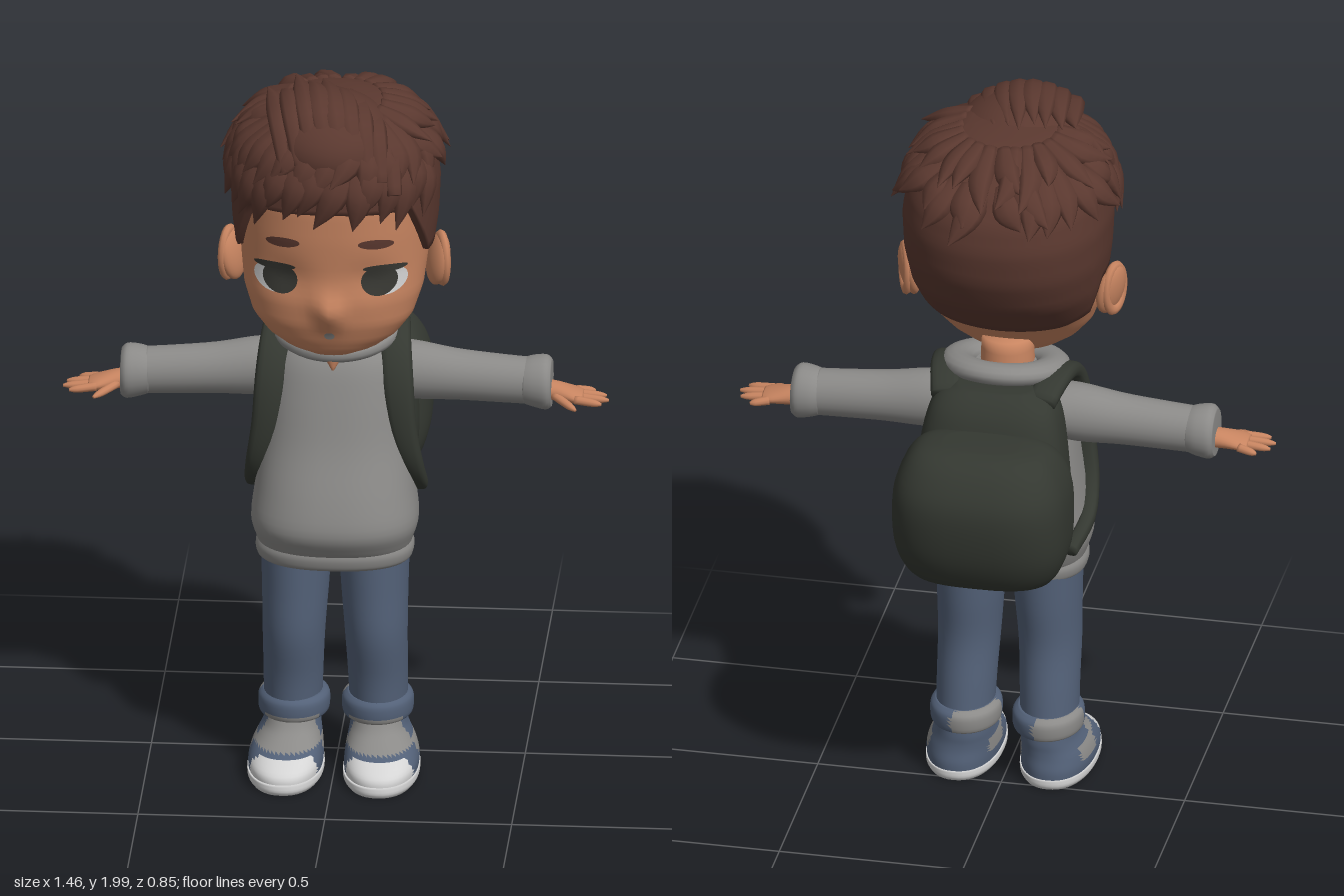
import * as THREE from 'three';

const mat = (name, color) => Object.assign(new THREE.MeshStandardMaterial({ color }), { name });
const M = {
  skin: mat('skin', 0xc78460), hair: mat('hair brown', 0x5a382f), grey: mat('hoodie grey', 0x8b8a88),
  pack: mat('backpack green', 0x343831), jeans: mat('denim blue', 0x536178),
  white: mat('white', 0xd4d4d4), dark: mat('eye dark', 0x383833),
};
const V = (x, y, z) => new THREE.Vector3(x, y, z);
const lerp = THREE.MathUtils.lerp;
const spow = (c, p) => Math.sign(c) * Math.abs(c) ** p;

// Surface closed around u, open along v
function grid(nu, nv, fn) {
  const pos = [], idx = [];
  for (let i = 0; i <= nv; i++) for (let j = 0; j < nu; j++) pos.push(...fn((j / nu) * Math.PI * 2, i).toArray());
  for (let i = 0; i < nv; i++) for (let j = 0; j < nu; j++) {
    const k = (j + 1) % nu, a = i * nu + j, b = i * nu + k, c = a + nu, d = b + nu;
    idx.push(a, b, c, b, d, c);
  }
  const g = new THREE.BufferGeometry();
  g.setAttribute('position', new THREE.Float32BufferAttribute(pos, 3));
  g.setIndex(idx);
  g.computeVertexNormals();
  return g;
}

// Smooth sweep through rows [x, y, z, halfWidth, halfDepth]; dir fixes the section plane
function sweep(rows, up, { dir = null, n = 24, pow = 1, sub = 4 } = {}) {
  const R = [];
  const at = i => rows[Math.max(0, Math.min(rows.length - 1, i))];
  for (let i = 0; i < rows.length - 1; i++) for (let k = 0; k < sub + (i === rows.length - 2 ? 1 : 0); k++) {
    const t = k / sub;
    R.push(at(i).map((b, c) => {
      const a = at(i - 1)[c], d = at(i + 1)[c], e = at(i + 2)[c];
      return b + 0.5 * t * (d - a + t * (2 * a - 5 * b + 4 * d - e + t * (3 * (b - d) + e - a)));
    }));
  }
  const last = R.length - 1, P = R.map(r => V(r[0], r[1], r[2]));
  const frames = P.map((p, i) => {
    const T = dir ? dir.clone() : P[Math.min(last, i + 1)].clone().sub(P[Math.max(0, i - 1)]).normalize();
    const S = T.clone().cross(up).normalize();
    return [S, S.clone().cross(T)];
  });
  return grid(n, last + 2, (u, i) => {
    const k = Math.max(0, Math.min(last, i - 1)), cap = i === 0 || i === last + 2 ? 0 : 1;
    const [S, N] = frames[k];
    return P[k].clone().addScaledVector(S, cap * Math.max(0.001, R[k][3]) * spow(Math.cos(u), pow))
      .addScaledVector(N, -cap * Math.max(0.001, R[k][4]) * spow(Math.sin(u), pow));
  });
}

// Split triangles into material groups by their centre
function paint(geo, count, pick) {
  const p = geo.attributes.position, ix = geo.index.array, lists = Array.from({ length: count }, () => []);
  for (let i = 0; i < ix.length; i += 3) {
    const c = V(0, 0, 0);
    for (let k = 0; k < 3; k++) c.add(V(0, 0, 0).fromBufferAttribute(p, ix[i + k]));
    lists[pick(c.divideScalar(3))].push(ix[i], ix[i + 1], ix[i + 2]);
  }
  geo.setIndex(lists.flat());
  let start = 0;
  lists.forEach((l, m) => { geo.addGroup(start, l.length, m); start += l.length; });
  return geo;
}

// Head and hair profiles: [y, halfWidth, frontZ, backZ]
const HEAD = [[1.245, 0.07, 0.27, 0.13], [1.265, 0.125, 0.295, 0.1], [1.3, 0.175, 0.315, 0.07], [1.35, 0.215, 0.335, 0.03],
  [1.42, 0.24, 0.347, -0.04], [1.5, 0.25, 0.35, -0.11], [1.6, 0.253, 0.362, -0.15], [1.7, 0.25, 0.368, -0.16], [1.82, 0.2, 0.31, -0.1], [1.88, 0.08, 0.2, 0]];
const HAIR = [[1.36, 0.22, 0.36, 0], [1.42, 0.246, 0.36, -0.055], [1.5, 0.262, 0.365, -0.135], [1.6, 0.276, 0.38, -0.185], [1.7, 0.28, 0.395, -0.2],
  [1.78, 0.268, 0.395, -0.185], [1.85, 0.235, 0.37, -0.14], [1.9, 0.185, 0.33, -0.08], [1.935, 0.12, 0.27, 0], [1.95, 0.01, 0.15, 0.13]];
const table = (rows, y) => {
  let i = 0;
  while (i < rows.length - 2 && y > rows[i + 1][0]) i++;
  const t = THREE.MathUtils.clamp((y - rows[i][0]) / (rows[i + 1][0] - rows[i][0]), 0, 1);
  return rows[i].map((v, c) => lerp(v, rows[i + 1][c], t));
};
const POW = 0.9;
function surf(rows, a, y, off = 0, k = 1) {
  const [, rx, f, b] = table(rows, y);
  return V(k * (rx + off) * spow(Math.sin(a), POW), y, (f + b) / 2 + k * ((f - b) / 2 + off) * spow(Math.cos(a), POW));
}
// Nose bump and shallow eye sockets
const bump = (x, y) => 0.036 * Math.exp(-((x / 0.035) ** 2) - ((y - 1.4) / 0.045) ** 2)
  - 0.012 * Math.exp(-(((Math.abs(x) - 0.11) / 0.06) ** 2) - ((y - 1.49) / 0.05) ** 2);
function faceZ(x, y) {
  const [, rx, f, b] = table(HEAD, y), e = 2 / POW;
  return (f + b) / 2 + ((f - b) / 2) * Math.max(0, 1 - Math.abs(x / rx) ** e) ** (1 / e) + bump(x, y);
}

export function createModel() {
  const model = new THREE.Group();
  const add = (name, geo, m) => {
    const mesh = new THREE.Mesh(geo, m);
    mesh.name = name;
    model.add(mesh);
    return mesh;
  };
  const X = V(1, 0, 0), Y = V(0, 1, 0), Z = V(0, 0, 1), upright = { dir: Y, n: 36 };

  // Head, neck
  add('head', grid(72, 48, (u, i) => {
    const y = lerp(1.245, 1.88, (1 - Math.cos((Math.PI * i) / 48)) / 2);
    const p = surf(HEAD, u, y, 0, i === 0 || i === 48 ? 0 : 1);
    if (Math.cos(u) > 0) p.z += bump(p.x, y);
    return p;
  }), M.skin);
  add('neck', sweep([[0, 1.15, 0.08, 0.075, 0.075], [0, 1.32, 0.09, 0.07, 0.07]], Z, upright), M.skin);

  // Painted face details follow the face surface
  const decal = (name, cx, cy, rx, ry, off, m, tilt = 0) => {
    const g = new THREE.RingGeometry(0, 1, 28, 5), p = g.attributes.position;
    for (let i = 0; i < p.count; i++) {
      const x = cx + p.getX(i) * rx, y = cy + p.getY(i) * ry + tilt * p.getX(i);
      p.setXYZ(i, x, y, faceZ(x, y) + off);
    }
    g.computeVertexNormals();
    add(name, g, m);
  };
  for (const s of [-1, 1]) {
    decal('eyeWhite', s * 0.148, 1.485, 0.058, 0.042, 0.004, M.white);
    decal('iris', s * 0.133, 1.487, 0.048, 0.044, 0.007, M.dark);
    decal('upperLash', s * 0.148, 1.522, 0.058, 0.011, 0.009, M.dark, -s * 0.004);
    decal('eyebrow', s * 0.125, 1.597, 0.047, 0.014, 0.005, M.hair, -s * 0.004);
    const ear = add('ear', new THREE.SphereGeometry(1, 24, 16), M.skin);
    ear.scale.set(0.026, 0.075, 0.052);
    ear.position.set(s * 0.275, 1.47, 0.115);
    ear.rotation.set(0.1, s * 0.45, -s * 0.2);
    const rim = add('earRim', new THREE.TorusGeometry(0.045, 0.012, 8, 24), M.skin);
    rim.scale.set(0.9, 1.4, 1);
    rim.position.set(s * 0.285, 1.472, 0.115);
    rim.rotation.set(0, Math.PI / 2 + s * 0.4, 0);
  }
  decal('mouth', 0, 1.325, 0.014, 0.012, 0.004, M.grey);

  // Hair shell with a hairline around the face, ears and nape
  const LINE = [[0, 1.7], [0.85, 1.69], [1.05, 1.6], [1.25, 1.53], [1.75, 1.53], [1.95, 1.42], [2.4, 1.39], [3.15, 1.38]];
  add('hairShell', grid(80, 32, (u, i) => {
    const b = table(LINE, u > Math.PI ? 2 * Math.PI - u : u)[1];
    const y = lerp(b, 1.95, Math.sin((Math.max(0, i - 1) / 31) * Math.PI / 2));
    return surf(HAIR, u, y, 0, i === 0 ? 0.82 : 1);
  }), M.hair);
  const quiff = add('quiff', new THREE.SphereGeometry(1, 32, 20), M.hair);
  quiff.scale.set(0.175, 0.12, 0.18);
  quiff.position.set(0.0, 1.855, 0.225);
  quiff.rotation.set(0.12, 0, -0.12);

  // Hair locks
  let seed = 7;
  const rnd = (lo, hi) => { seed = (seed * 16807) % 2147483647; return lerp(lo, hi, seed / 2147483647); };
  const lock = (a, y0, y1, da, flare, w) => {
    const p = [surf(HAIR, a, y0, -0.015), surf(HAIR, a + da * 0.4, lerp(y0, y1, 0.5), 0.008), surf(HAIR, a + da, y1, flare)];
    const up = V(Math.sin(a), 0.5, Math.cos(a)).normalize();
    const r = [[w * 0.6, 0.015], [w, 0.022], [0.001, 0.001]];
    add('hairLock', sweep(p.map((q, i) => [q.x, q.y, q.z, ...r[i]]), up, { n: 8, sub: 5 }), M.hair);
  };
  for (let i = 0; i < 15; i++) lock(-1.25 + i * 0.175, rnd(1.84, 1.88), rnd(1.64, 1.7), rnd(-0.28, -0.12), rnd(0.005, 0.025), 0.042);
  for (let i = 0; i < 12; i++) lock(-1.1 + i * 0.2, 1.91, rnd(1.74, 1.79), rnd(-0.3, -0.15), rnd(0.012, 0.03), 0.04);
  for (let i = 0; i < 22; i++) lock(1.15 + i * 0.19, rnd(1.86, 1.9), rnd(1.73, 1.8), rnd(-0.25, 0.25), rnd(0.01, 0.04), 0.04);
  for (let i = 0; i < 16; i++) lock(1.2 + i * 0.25, 1.925, rnd(1.83, 1.88), rnd(-0.3, 0.3), rnd(0.03, 0.065), 0.035);
  // Swept strands over the quiff
  for (let i = 0; i < 9; i++) {
    const x = -0.15 + i * 0.036, h = 1.972 - 3 * (x + 0.04) ** 2;
    add('quiffLock', sweep([[x + 0.04, h - 0.12, 0.38, 0.02, 0.012], [x + 0.02, h - 0.02, 0.31, 0.032, 0.02],
      [x, h + 0.002, 0.2, 0.03, 0.02], [x - 0.03, h + rnd(-0.02, 0.02), rnd(0.05, 0.11), 0.001, 0.001]], Y, { n: 8 }), M.hair);
  }

  // Hoodie
  add('hoodieBody', sweep([[0, 0.65, 0.12, 0.2, 0.14], [0, 0.675, 0.12, 0.21, 0.16], [0, 0.73, 0.12, 0.224, 0.186], [0, 0.82, 0.105, 0.214, 0.183],
    [0, 0.95, 0.08, 0.2, 0.166], [0, 1.08, 0.07, 0.188, 0.148], [0, 1.17, 0.065, 0.17, 0.13], [0, 1.22, 0.06, 0.13, 0.105], [0, 1.245, 0.06, 0.08, 0.07]],
    Z, { dir: Y, n: 48, pow: 0.85 }), M.grey);
  add('hoodieHem', sweep([[0, 0.615, 0.12, 0.198, 0.135], [0, 0.625, 0.12, 0.208, 0.144], [0, 0.65, 0.12, 0.212, 0.15], [0, 0.672, 0.12, 0.204, 0.145]],
    Z, { dir: Y, n: 48, pow: 0.85 }), M.grey);
  const collar = add('collar', new THREE.TorusGeometry(0.115, 0.04, 14, 40), M.grey);
  collar.scale.set(1.12, 1.05, 0.75);
  collar.rotation.x = Math.PI / 2 + 0.2;
  collar.position.set(0, 1.247, 0.06);
  add('neckOpening', sweep([[0, 1.175, 0.2, 0.004, 0.008], [0, 1.235, 0.195, 0.035, 0.02], [0, 1.26, 0.18, 0.03, 0.015]], Z, upright), M.skin);

  // Backpack
  add('backpackBody', sweep([[0, 0.75, -0.1, 0.14, 0.07], [0, 0.78, -0.11, 0.19, 0.11], [0, 0.9, -0.11, 0.21, 0.125], [0, 1.05, -0.1, 0.2, 0.12],
    [0, 1.17, -0.08, 0.18, 0.11], [0, 1.225, -0.065, 0.15, 0.09], [0, 1.248, -0.06, 0.1, 0.06]], Z, { dir: Y, n: 40, pow: 0.65 }), M.pack);
  add('backpackPocket', sweep([[0, 0.74, -0.17, 0.14, 0.08], [0, 0.77, -0.2, 0.195, 0.145], [0, 0.85, -0.222, 0.23, 0.178], [0, 0.95, -0.235, 0.238, 0.19],
    [0, 1.04, -0.24, 0.232, 0.186], [0, 1.11, -0.245, 0.205, 0.148], [0, 1.15, -0.25, 0.165, 0.1], [0, 1.163, -0.25, 0.1, 0.055]],
    Z, { dir: Y, n: 44, pow: 0.68 }), M.pack);

  for (const s of [-1, 1]) {
    const mir = rows => rows.map(([x, ...r]) => [s * x, ...r]);
    const side = { dir: V(s, 0, 0), n: 24 };

    add('shoulderStrap', sweep(mir([[0.13, 1.22, -0.1, 0.02, 0.04], [0.15, 1.25, 0.0, 0.022, 0.042], [0.16, 1.22, 0.1, 0.024, 0.042],
      [0.17, 1.13, 0.155, 0.026, 0.042], [0.185, 1.0, 0.165, 0.026, 0.036], [0.212, 0.88, 0.14, 0.024, 0.026],
      [0.224, 0.8, 0.06, 0.02, 0.02], [0.205, 0.77, -0.08, 0.018, 0.02]]), X, { n: 16, pow: 0.7 }), M.pack);

    // Arm and hand
    add('sleeve', sweep(mir([[0.1, 1.13, 0.05, 0.085, 0.07], [0.2, 1.122, 0.05, 0.075, 0.08], [0.32, 1.112, 0.053, 0.066, 0.07],
      [0.43, 1.105, 0.055, 0.062, 0.066], [0.52, 1.1, 0.056, 0.06, 0.064]]), Y, side), M.grey);
    add('sleeveCuff', sweep(mir([[0.5, 1.1, 0.056, 0.06, 0.062], [0.525, 1.1, 0.056, 0.068, 0.07], [0.56, 1.098, 0.058, 0.071, 0.075],
      [0.576, 1.096, 0.058, 0.06, 0.064]]), Y, side), M.grey);
    add('palm', sweep(mir([[0.54, 1.08, 0.06, 0.032, 0.028], [0.59, 1.077, 0.065, 0.035, 0.025], [0.64, 1.07, 0.073, 0.045, 0.018],
      [0.662, 1.067, 0.074, 0.036, 0.013]]), Y, side), M.skin);
    const finger = (name, a, b) => add(name, sweep(mir([[...a, 0.012, 0.012],
      [...a.map((v, i) => lerp(v, b[i], 0.7)), 0.011, 0.01], [...b, 0.004, 0.004]]), Y, { n: 10 }), M.skin);
    [[0.035, 0.69], [0.06, 0.722], [0.085, 0.73], [0.108, 0.712]].forEach(([z, x]) =>
      finger('finger', [0.64, 1.069, z], [x, 1.062, 0.073 + (z - 0.073) * 1.35]));
    finger('thumb', [0.585, 1.072, 0.09], [0.645, 1.055, 0.15]);

    // Trouser leg and rolled cuff
    add('trouserLeg', sweep(mir([[0.115, 0.16, 0.083, 0.078, 0.1], [0.113, 0.27, 0.095, 0.08, 0.1], [0.11, 0.4, 0.117, 0.084, 0.107],
      [0.106, 0.53, 0.113, 0.09, 0.114], [0.104, 0.66, 0.11, 0.096, 0.118]]), Z, upright), M.jeans);
    add('trouserCuff', paint(sweep(mir([[0.112, 0.145, 0.083, 0.08, 0.1], [0.112, 0.155, 0.083, 0.094, 0.114], [0.112, 0.195, 0.083, 0.095, 0.116],
      [0.113, 0.212, 0.085, 0.08, 0.1]]), Z, upright), 2,
      c => (-(c.x - s * 0.112) - (c.z - 0.083) > 0.09 || (c.y < 0.165 && c.z > 0.16) ? 1 : 0)), [M.jeans, M.grey]);

    // Shoe: white toe cap, grey tongue and side patch
    add('shoe', paint(sweep(mir([[0.128, 0.022, 0.163, 0.098, 0.183], [0.128, 0.05, 0.16, 0.1, 0.18], [0.125, 0.08, 0.138, 0.094, 0.152],
      [0.12, 0.105, 0.113, 0.084, 0.125], [0.116, 0.13, 0.095, 0.076, 0.108], [0.115, 0.17, 0.085, 0.07, 0.095]]), Z, { dir: Y, n: 48, pow: 0.9 }), 3,
      c => {
        if (c.z > 0.25 && c.y < 0.08) return 1;
        const sidePatch = c.z > 0.05 && c.z < 0.16 && c.y > 0.055 && c.y < 0.1;
        return sidePatch || (c.z > 0.15 && c.y > 0.09) ? 2 : 0;
      }), [M.jeans, M.white, M.grey]);
    add('shoeSole', sweep(mir([[0.128, 0, 0.165, 0.094, 0.18], [0.128, 0.012, 0.165, 0.102, 0.187], [0.128, 0.03, 0.164, 0.102, 0.186]]),
      Z, { dir: Y, n: 48, pow: 0.9, sub: 3 }), M.white);
  }
  return model;
}
